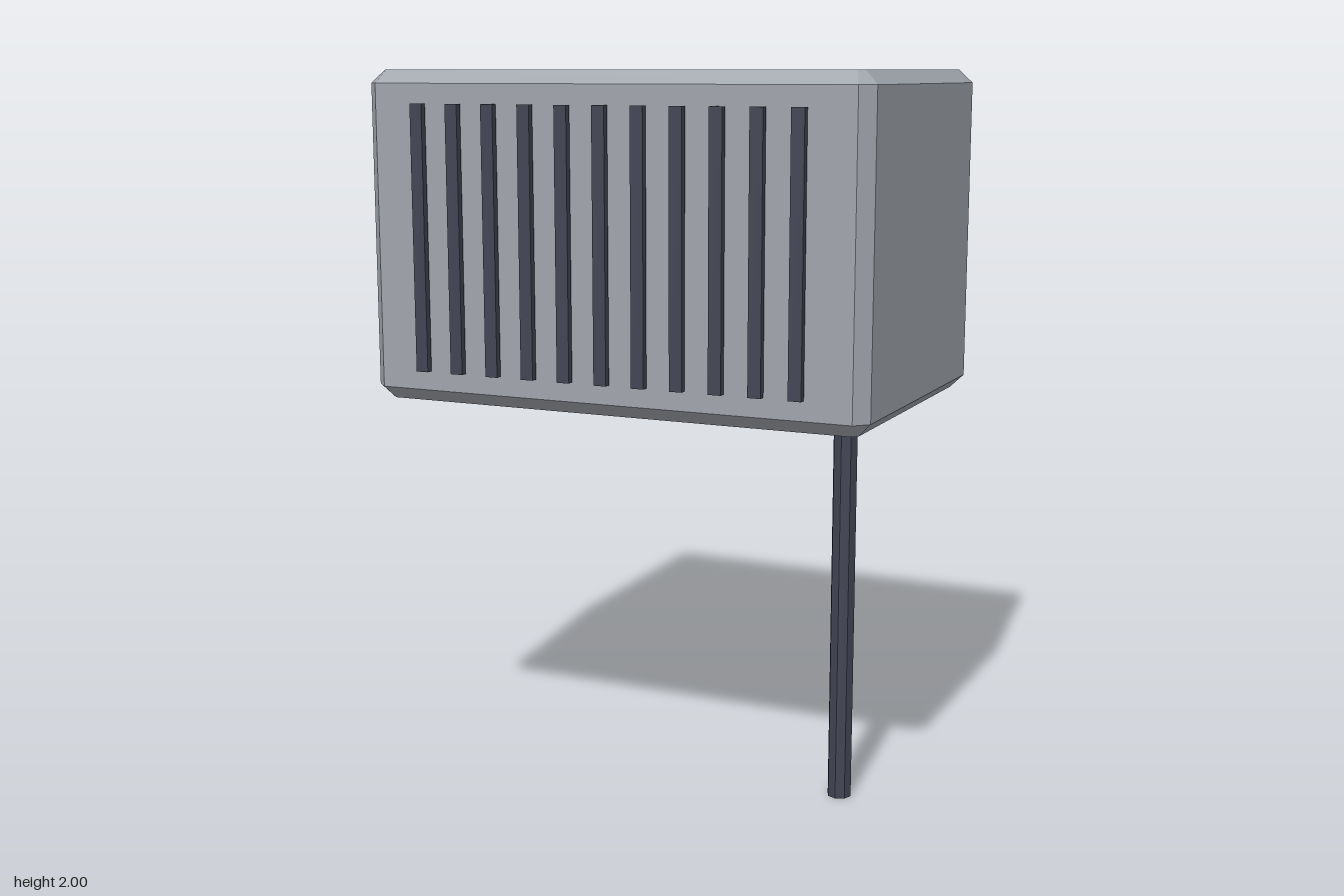
import * as THREE from 'three';

export function createModel() {
  const model = new THREE.Group();
  const shellGrey = new THREE.MeshStandardMaterial({ color: 0xa0a5ac });
  shellGrey.name = 'shellGrey';
  const darkSlate = new THREE.MeshStandardMaterial({ color: 0x414453, flatShading: true });
  darkSlate.name = 'darkSlate';

  const add = (name, geometry, material, x, y, z) => {
    const mesh = new THREE.Mesh(geometry, material);
    mesh.name = name;
    mesh.position.set(x, y, z);
    model.add(mesh);
    return mesh;
  };

  // Housing: rectangle with cut corners, extruded upwards with a chamfer at both ends
  const w = 0.726, d = 0.453, c = 0.036, height = 0.905;
  const outline = new THREE.Shape([
    [w - c, -d], [w, c - d], [w, d - c], [w - c, d],
    [c - w, d], [-w, d - c], [-w, c - d], [c - w, -d],
  ].map(([x, y]) => new THREE.Vector2(x, y)));
  const housing = new THREE.ExtrudeGeometry(outline, {
    depth: height - 2 * c, bevelThickness: c, bevelSize: c, bevelOffset: -c, bevelSegments: 1,
  });
  housing.rotateX(-Math.PI / 2);
  add('housing', housing, shellGrey, 0, 2 - height + c, -0.014);

  // Row of upright grille bars standing just off the front
  const bar = new THREE.BoxGeometry(0.036, 0.725, 0.019);
  for (let i = -5; i <= 5; i++) add('grilleBar', bar, darkSlate, i * 0.1092, 1.548, 0.457);

  // Eight-sided post under the left side
  const postHeight = 1.1;
  add('post', new THREE.CylinderGeometry(0.034, 0.034, postHeight, 8), darkSlate, 0.547, postHeight / 2, 0.078);

  return model;
}
